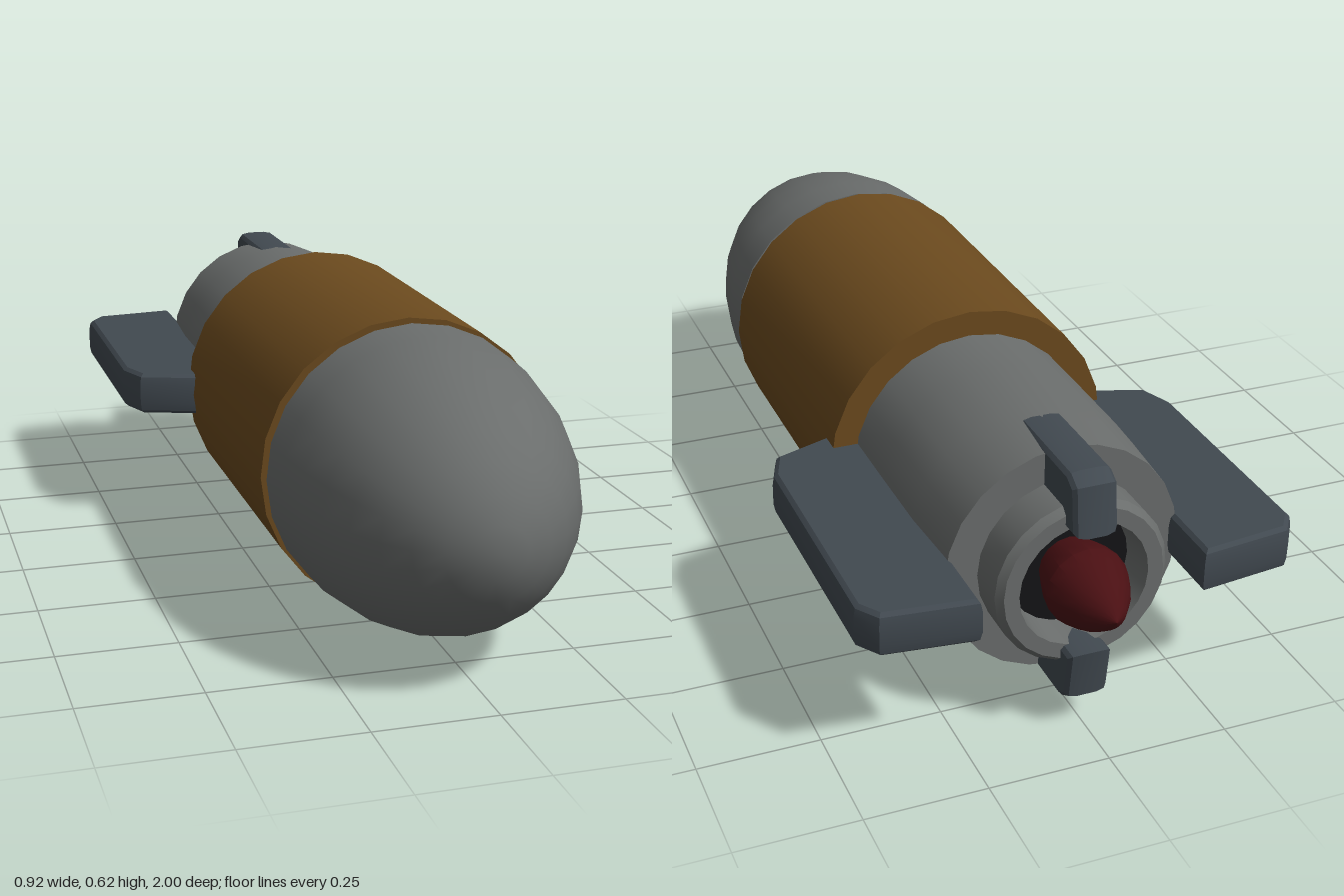
import * as THREE from 'three';
import { toCreasedNormals } from 'three/addons/utils/BufferGeometryUtils.js';

const AXIS_Y = 0.312;

function material(name, color) {
  const m = new THREE.MeshStandardMaterial({ color });
  m.name = name;
  return m;
}

// Revolves [radius, z] points, listed from back to front, about the z axis
function turned(name, points, mat, segments = 24) {
  const profile = points.map(([r, z]) => new THREE.Vector2(r, z));
  const geometry = new THREE.LatheGeometry(profile, segments);
  geometry.rotateX(Math.PI / 2);
  const mesh = new THREE.Mesh(toCreasedNormals(geometry, 0.55), mat);
  mesh.name = name;
  return mesh;
}

// Bevelled plate from a [radius, z] outline, lying in the xz plane
function finGeometry(outline, thickness, bevel, inset) {
  const shape = new THREE.Shape(outline.map(([r, z]) => new THREE.Vector2(r, -z)));
  const geometry = new THREE.ExtrudeGeometry(shape, {
    depth: thickness - 2 * bevel,
    bevelThickness: bevel,
    bevelSize: inset,
    bevelOffset: -inset,
    bevelSegments: 2,
  });
  geometry.translate(0, 0, -(thickness / 2 - bevel));
  geometry.rotateX(-Math.PI / 2);
  return toCreasedNormals(geometry, 0.5);
}

export function createModel() {
  const steel = material('grey steel', 0x6a6d6c);
  const bronze = material('brown bronze', 0x6b4a1e);
  const finMetal = material('dark blue grey', 0x414950);
  const black = material('black', 0x141416);
  const red = material('dark red', 0x4a1013);

  const model = new THREE.Group();
  model.name = 'rocket';
  const body = new THREE.Group();
  body.name = 'body';
  body.position.y = AXIS_Y;
  model.add(body);

  // Elliptical nose with a flat back
  const nose = [[0, 0.46]];
  for (let i = 0; i <= 9; i++) {
    const a = (i / 9) * Math.PI / 2;
    nose.push([i === 9 ? 0 : 0.305 * Math.cos(a), 0.46 + 0.54 * Math.sin(a)]);
  }
  body.add(turned('nose', nose, steel));

  // Dark groove, wide sleeve and slimmer tail
  body.add(turned('neckRing', [[0.285, 0.43], [0.285, 0.47]], black));
  body.add(turned('sleeve', [[0, -0.27], [0.312, -0.27], [0.312, 0.44], [0, 0.44]], bronze));
  body.add(turned('tail',
    [[0, -0.76], [0.247, -0.76], [0.257, -0.6], [0.258, -0.42], [0.258, -0.26]], steel));

  // Hollow nozzle collar, its dark floor and the pointed plug
  body.add(turned('nozzleCollar',
    [[0.125, -0.77], [0.135, -0.86], [0.167, -0.86], [0.18, -0.845], [0.18, -0.75]], steel));
  body.add(turned('nozzleFloor', [[0, -0.785], [0.129, -0.785]], black));
  body.add(turned('exhaustPlug',
    [[0, -1], [0.03, -0.978], [0.058, -0.94], [0.077, -0.9], [0.085, -0.87],
      [0.078, -0.83], [0.06, -0.78]], red, 16));

  // Broad side fins
  const sideFin = finGeometry(
    [[0.23, -0.91], [0.23, -0.2], [0.29, -0.205], [0.43, -0.255], [0.458, -0.33],
      [0.458, -0.84], [0.425, -0.888]], 0.095, 0.025, 0.012);
  // Slim fins above and below the nozzle
  const tailFin = finGeometry(
    [[0.13, -0.905], [0.13, -0.6], [0.22, -0.58], [0.254, -0.64],
      [0.254, -0.86], [0.235, -0.892]], 0.09, 0.025, 0.012);
  ['leftFin', 'topFin', 'rightFin', 'bottomFin'].forEach((name, i) => {
    const fin = new THREE.Mesh(i % 2 ? tailFin : sideFin, finMetal);
    fin.name = name;
    fin.rotation.z = i * Math.PI / 2;
    body.add(fin);
  });

  return model;
}
